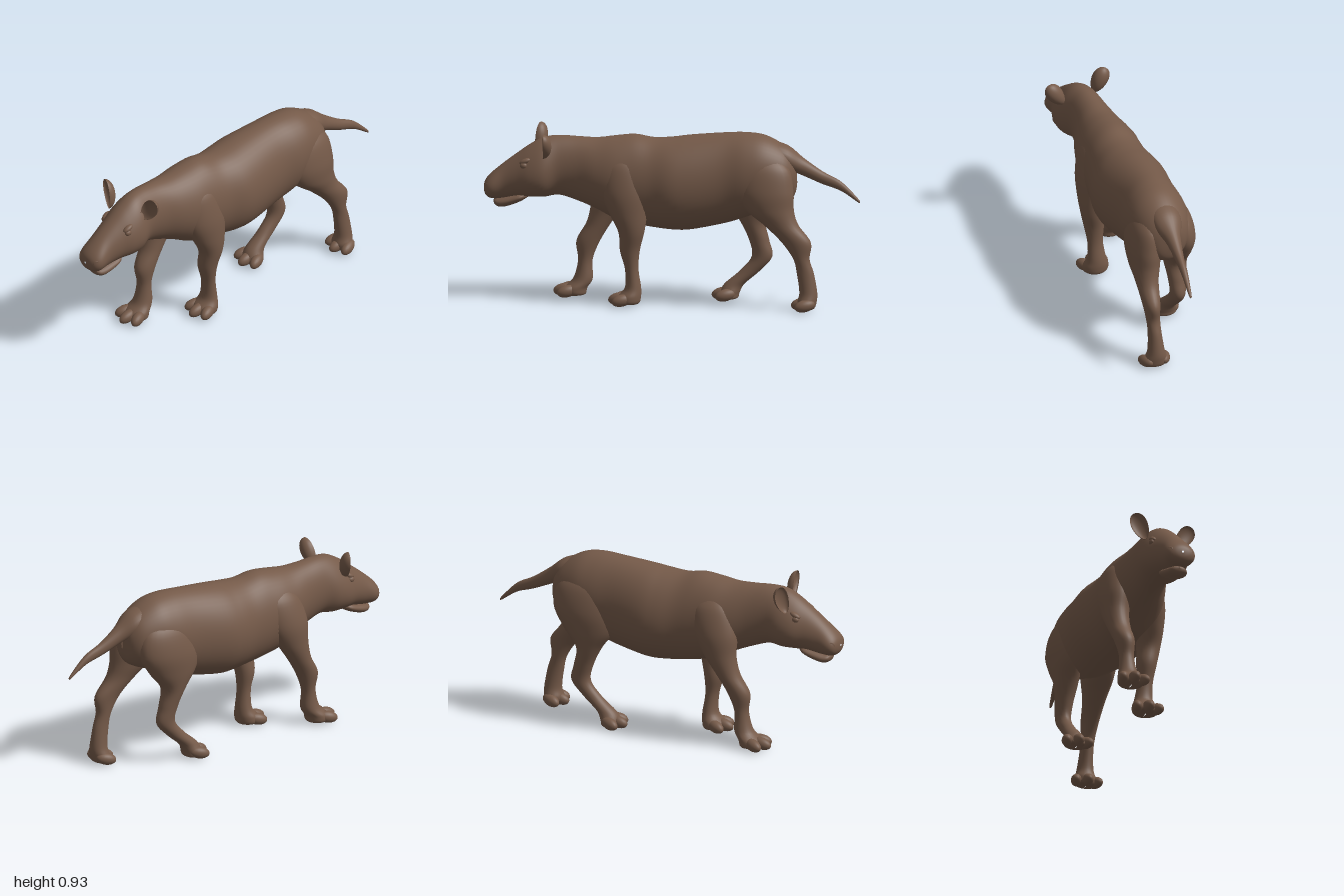
import * as THREE from 'three';

const hide = new THREE.MeshStandardMaterial({ color: 0x755a49 });
hide.name = 'brown hide';

// Smooth interpolation of one value through four section values.
function spline(a, b, c, d, t) {
  return 0.5 * (2 * b + (c - a) * t + (2 * a - 5 * b + 4 * c - d) * t * t + (3 * b - a - 3 * c + d) * t * t * t);
}

// Closed tube through elliptical sections [x, y, z, halfWidth, halfDepth, egg].
// upright: sections stand in the xy plane (run back to front); otherwise they lie flat (run top to bottom).
function loft(rows, upright, sides = 36, steps = 6) {
  const pos = [], index = [], rings = (rows.length - 1) * steps + 1;
  const row = (i) => rows[Math.max(0, Math.min(rows.length - 1, i))];
  for (let r = 0; r < rings; r++) {
    const i = Math.min(Math.floor(r / steps), rows.length - 2), t = r / steps - i;
    const [x, y, z, w, d, egg] = [0, 1, 2, 3, 4, 5].map((k) =>
      spline(...[-1, 0, 1, 2].map((o) => row(i + o)[k] || 0), t));
    for (let j = 0; j < sides; j++) {
      const a = (j / sides) * Math.PI * 2, c = Math.cos(a), s = Math.sin(a);
      const px = x + Math.max(w, 0.001) * c * (1 - egg * s), off = Math.max(d, 0.001) * s;
      if (upright) pos.push(px, y + off, z);
      else pos.push(px, y, z + off);
      if (r < rings - 1) {
        const p = r * sides + j, q = r * sides + ((j + 1) % sides);
        index.push(p, q, p + sides, q, q + sides, p + sides);
      }
    }
  }
  const g = new THREE.BufferGeometry();
  g.setAttribute('position', new THREE.Float32BufferAttribute(pos, 3));
  g.setIndex(index);
  g.computeVertexNormals();
  return g;
}

function add(parent, name, geometry) {
  const m = new THREE.Mesh(geometry, hide);
  m.name = name;
  parent.add(m);
  return m;
}

function ball(parent, name, p, s) {
  const m = add(parent, name, new THREE.SphereGeometry(1, 20, 14));
  m.position.set(...p);
  m.scale.set(...s);
  return m;
}

// Leg sections are [y, back z, front z, x, halfWidth]; toes fan out from the foot.
function leg(parent, name, sections, toeZ) {
  const g = new THREE.Group();
  g.name = name;
  parent.add(g);
  add(g, 'limb', loft(sections.map(([y, b, f, x, w]) => [x, y, (b + f) / 2, w, (f - b) / 2]), false, 28));
  const x = sections[sections.length - 1][3];
  for (const k of [-1, 0, 1]) {
    const toe = ball(g, 'toe', [x + k * 0.052, 0.036, toeZ - Math.abs(k) * 0.025], [0.03, 0.032, 0.056]);
    toe.rotation.set(0.22, k * 0.35, 0);
  }
}

export function createModel() {
  const model = new THREE.Group();
  model.name = 'animal';

  // Trunk, neck and head: [z, centre x, top, bottom, half width, egg]
  const profile = [
    [-0.665, 0, 0.76, 0.67, 0.01, 0], [-0.65, 0, 0.80, 0.60, 0.075, 0], [-0.6, 0, 0.86, 0.56, 0.125, 0],
    [-0.5, 0, 0.915, 0.52, 0.16, 0], [-0.4, 0, 0.93, 0.48, 0.175, 0.05], [-0.28, -0.005, 0.925, 0.44, 0.175, 0.05],
    [-0.1, -0.005, 0.908, 0.402, 0.2, 0.05], [0, 0, 0.895, 0.4, 0.2, 0.05], [0.1, 0, 0.89, 0.41, 0.18, 0.05],
    [0.2, 0, 0.905, 0.425, 0.172, 0.08], [0.3, 0, 0.895, 0.45, 0.168, 0.08], [0.4, 0, 0.882, 0.50, 0.145, 0.08],
    [0.5, 0, 0.885, 0.54, 0.115, 0.05], [0.6, 0.005, 0.89, 0.57, 0.105, 0.08], [0.68, 0.015, 0.88, 0.56, 0.122, 0.2],
    [0.75, 0.018, 0.845, 0.56, 0.118, 0.22], [0.82, 0.02, 0.795, 0.56, 0.097, 0.15], [0.89, 0.02, 0.742, 0.548, 0.083, 0.08],
    [0.95, 0.022, 0.692, 0.545, 0.083, 0.08], [0.98, 0.022, 0.662, 0.555, 0.07, 0.05],
    [0.995, 0.022, 0.638, 0.575, 0.042, 0], [1, 0.022, 0.612, 0.6, 0.006, 0],
  ];
  add(model, 'body', loft(profile.map(([z, x, t, b, w, e]) => [x, (t + b) / 2, z, w, (t - b) / 2, e]), true, 48, 5));

  add(model, 'lowerJaw', loft([
    [0.02, 0.57, 0.76, 0.02, 0.01], [0.02, 0.56, 0.8, 0.06, 0.025], [0.021, 0.54, 0.86, 0.062, 0.03],
    [0.022, 0.528, 0.91, 0.055, 0.028], [0.022, 0.53, 0.94, 0.038, 0.018], [0.022, 0.535, 0.95, 0.002, 0.002],
  ], true));

  add(model, 'tail', loft([
    [0.014, 0.572, -1, 0.001, 0.001], [0.014, 0.582, -0.99, 0.008, 0.01], [0.01, 0.655, -0.9, 0.017, 0.025],
    [0.004, 0.698, -0.8, 0.025, 0.034], [0, 0.752, -0.7, 0.042, 0.047], [0, 0.8, -0.62, 0.075, 0.062],
    [0, 0.83, -0.54, 0.08, 0.06],
  ], true, 24));

  // Front legs
  leg(model, 'leftFrontLeg', [
    [0.82, 0.19, 0.3, 0.09, 0.02], [0.75, 0.14, 0.36, 0.095, 0.065], [0.62, 0.11, 0.37, 0.105, 0.085],
    [0.5, 0.12, 0.32, 0.118, 0.074], [0.4, 0.135, 0.272, 0.12, 0.062], [0.3, 0.16, 0.266, 0.106, 0.054],
    [0.2, 0.168, 0.24, 0.102, 0.042], [0.1, 0.155, 0.24, 0.096, 0.051], [0.05, 0.155, 0.28, 0.096, 0.07],
    [0.015, 0.165, 0.28, 0.096, 0.062], [0.008, 0.2, 0.24, 0.096, 0.002],
  ], 0.275);
  leg(model, 'rightFrontLeg', [
    [0.82, 0.24, 0.34, -0.09, 0.02], [0.75, 0.18, 0.41, -0.1, 0.065], [0.62, 0.2, 0.45, -0.112, 0.085],
    [0.5, 0.27, 0.45, -0.122, 0.07], [0.4, 0.34, 0.472, -0.118, 0.06], [0.3, 0.4, 0.525, -0.108, 0.052],
    [0.2, 0.438, 0.515, -0.102, 0.04], [0.1, 0.437, 0.54, -0.1, 0.052], [0.05, 0.465, 0.59, -0.1, 0.07],
    [0.015, 0.475, 0.59, -0.1, 0.062], [0.008, 0.51, 0.55, -0.1, 0.002],
  ], 0.592);

  // Hind legs
  leg(model, 'leftHindLeg', [
    [0.84, -0.53, -0.42, 0.08, 0.02], [0.76, -0.63, -0.35, 0.09, 0.07], [0.64, -0.657, -0.345, 0.1, 0.088],
    [0.54, -0.66, -0.4, 0.105, 0.08], [0.46, -0.685, -0.5, 0.112, 0.06], [0.37, -0.752, -0.595, 0.118, 0.046],
    [0.28, -0.745, -0.658, 0.116, 0.037], [0.2, -0.768, -0.677, 0.114, 0.036], [0.1, -0.785, -0.69, 0.112, 0.046],
    [0.05, -0.782, -0.68, 0.112, 0.062], [0.015, -0.77, -0.69, 0.112, 0.058], [0.008, -0.74, -0.71, 0.112, 0.002],
  ], -0.7);
  leg(model, 'rightHindLeg', [
    [0.84, -0.5, -0.4, -0.085, 0.02], [0.76, -0.6, -0.3, -0.1, 0.07], [0.64, -0.62, -0.26, -0.11, 0.09],
    [0.53, -0.56, -0.275, -0.115, 0.08], [0.43, -0.485, -0.345, -0.115, 0.064], [0.33, -0.5, -0.393, -0.114, 0.048],
    [0.24, -0.517, -0.408, -0.112, 0.04], [0.16, -0.45, -0.345, -0.11, 0.038], [0.09, -0.37, -0.265, -0.108, 0.046],
    [0.045, -0.345, -0.24, -0.106, 0.062], [0.015, -0.335, -0.24, -0.106, 0.06], [0.008, -0.3, -0.27, -0.106, 0.002],
  ], -0.25);

  // Ears: a ball with its front half pushed in to make a cup, narrow at the root
  const cup = new THREE.SphereGeometry(1, 28, 20);
  const p = cup.attributes.position;
  for (let i = 0; i < p.count; i++) {
    const y = p.getY(i), z = p.getZ(i);
    p.setX(i, p.getX(i) * (0.88 + 0.18 * y));
    p.setZ(i, (z > 0 ? -0.55 * z : z) + 0.3);
  }
  cup.computeVertexNormals();
  for (const [name, x, y, z, turn, lean] of [
    ['leftEar', 0.151, 0.853, 0.657, 0.15, -0.6], ['rightEar', -0.113, 0.853, 0.712, -0.35, 0.38],
  ]) {
    const ear = add(model, name, cup);
    ear.position.set(x, y, z);
    ear.scale.set(0.05, 0.08, 0.045);
    ear.rotation.set(0, turn, lean);
  }

  // Eyes, brows and nostril rims
  for (const s of [-1, 1]) {
    ball(model, 'eye', [0.02 + s * 0.093, 0.742, 0.778], [0.014, 0.016, 0.02]);
    ball(model, 'brow', [0.02 + s * 0.084, 0.764, 0.772], [0.018, 0.014, 0.032]).rotation.x = 0.4;
    const rim = add(model, 'nostrilRim', new THREE.TorusGeometry(0.015, 0.007, 10, 20));
    rim.position.set(0.022 + s * 0.062, 0.615, 0.972);
    rim.rotation.y = s * 0.9;
  }
  return model;
}
